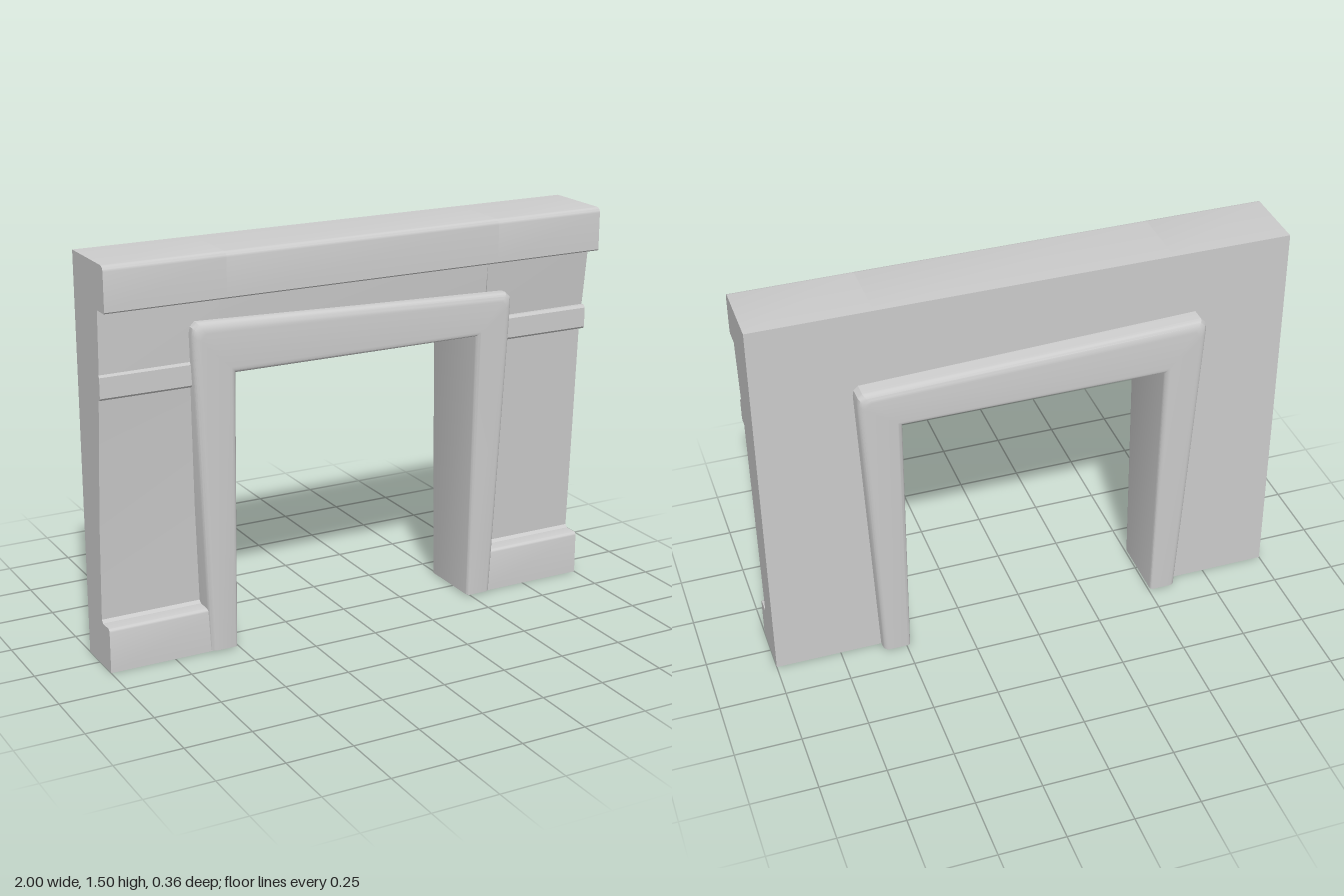
import * as THREE from 'three';
import { toCreasedNormals } from 'three/addons/utils/BufferGeometryUtils.js';

const material = new THREE.MeshStandardMaterial({ color: 0xcccccc });
const V = (x, y, z) => new THREE.Vector3(x, y, z);

// Skins matching cross-sections and caps both ends; "flatten" maps a section to 2D for the caps.
function loft(name, sections, flatten, crease = 0.6) {
  const tris = [];
  const n = sections[0].length;
  for (let s = 0; s < sections.length - 1; s++) {
    const a = sections[s], b = sections[s + 1];
    for (let i = 0; i < n; i++) {
      const j = (i + 1) % n;
      tris.push([a[i], a[j], b[j]], [a[i], b[j], b[i]]);
    }
  }
  const first = sections[0], last = sections[sections.length - 1];
  const flat = first.map(flatten);
  const ccw = !THREE.ShapeUtils.isClockWise(flat);
  for (const [i, j, k] of THREE.ShapeUtils.triangulateShape(flat, [])) {
    // the cap must run against the side walls along the shared edges
    const f = ccw ? [i, j, k] : [i, k, j];
    tris.push([first[f[0]], first[f[2]], first[f[1]]], [last[f[0]], last[f[1]], last[f[2]]]);
  }
  // Turn everything outward if the enclosed volume is negative
  const volume = tris.reduce((sum, [a, b, c]) => sum + a.dot(b.clone().cross(c)), 0);
  const pos = [];
  for (const [a, b, c] of tris) {
    if (V(0, 0, 0).crossVectors(b.clone().sub(a), c.clone().sub(a)).length() < 1e-9) continue;
    for (const p of volume < 0 ? [a, c, b] : [a, b, c]) pos.push(p.x, p.y, p.z);
  }
  const geo = new THREE.BufferGeometry();
  geo.setAttribute('position', new THREE.Float32BufferAttribute(pos, 3));
  const mesh = new THREE.Mesh(toCreasedNormals(geo, crease), material);
  mesh.name = name;
  return mesh;
}

// Quarter-round from angle a0 to a1 in (z, y)
function round(z, y, r, a0, a1, steps = 4) {
  return Array.from({ length: steps + 1 }, (_, i) => {
    const a = a0 + (a1 - a0) * i / steps;
    return [z + r * Math.cos(a), y + r * Math.sin(a)];
  });
}

// Moulded wall outline (z, y) at a given x: the panels swell slightly toward -x
function upperProfile(x) {
  const swell = 0.022 * (1 - x) / 2;
  return [
    [0.107, 1.1], [0.1, 1.11], [0.084 + swell, 1.11],
    [0.113, 1.34], [0.175, 1.34], [0.18, 1.345],
    ...round(0.16, 1.485, 0.02, 0, Math.PI / 2), [-0.1, 1.505],
  ];
}
function pierProfile(x) {
  const swell = 0.022 * (1 - x) / 2;
  return [
    [-0.1, 0], [0.107, 0], ...round(0.095, 0.157, 0.012, 0, Math.PI / 2, 3),
    [0.045, 0.169], [0.035, 0.18], [0.052, 0.55], [0.073 + swell, 1.017],
    [0.1, 1.017], [0.107, 1.025], ...upperProfile(x),
  ];
}
const lintelProfile = x => [[-0.1, 1.09], [0.107, 1.09], ...upperProfile(x)];

function wall(name, profile, x0, x1) {
  const section = x => profile(x).map(([z, y]) => V(x, y, z));
  return loft(name, [section(x0), section(x1)], p => new THREE.Vector2(p.z, p.y));
}

// Stations round the doorway: inner x, y, outer x, y, front z, back z
const STATIONS = [
  [-0.505, 0.005, -0.61, 0.005, 0.122, -0.149],
  [-0.505, 1.06, -0.666, 1.215, 0.151, -0.178],
  [-0.505, 1.06, -0.662, 1.238, 0.151, -0.178],
  [-0.505, 1.06, -0.645, 1.256, 0.151, -0.178],
  [0.485, 1.06, 0.62, 1.212, 0.15, -0.177],
  [0.485, 1.06, 0.637, 1.197, 0.15, -0.177],
  [0.485, 1.06, 0.641, 1.175, 0.15, -0.177],
  [0.485, 0.005, 0.59, 0.005, 0.122, -0.149],
];

// Rounded bar section: soft outer edges, tighter edges at the opening
function frameSection([ix, iy, ox, oy, zf, zb]) {
  const pts = [];
  const corner = (u, z, ru, rz, a0) => {
    for (let i = 0; i <= 5; i++) {
      const a = a0 + Math.PI / 2 * i / 5;
      const t = u + ru * Math.cos(a);
      pts.push(V(ix + (ox - ix) * t, iy + (oy - iy) * t, z + rz * Math.sin(a)));
    }
  };
  corner(0.8, zf - 0.028, 0.2, 0.028, 0);
  corner(0.12, zf - 0.016, 0.12, 0.016, Math.PI / 2);
  corner(0.12, zb + 0.016, 0.12, 0.016, Math.PI);
  corner(0.8, zb + 0.028, 0.2, 0.028, Math.PI * 1.5);
  return pts;
}

export function createModel() {
  const model = new THREE.Group();
  model.name = 'doorwayWall';

  // Wall on both sides of the opening and above it
  model.add(
    wall('rightPier', pierProfile, -1, -0.55),
    wall('leftPier', pierProfile, 0.55, 1),
    wall('lintel', lintelProfile, -0.55, 0.55),
  );

  // Leaning door surround running through the wall
  model.add(loft('doorFrame', STATIONS.map(frameSection), p => new THREE.Vector2(p.x, p.z), 0.5));
  return model;
}
